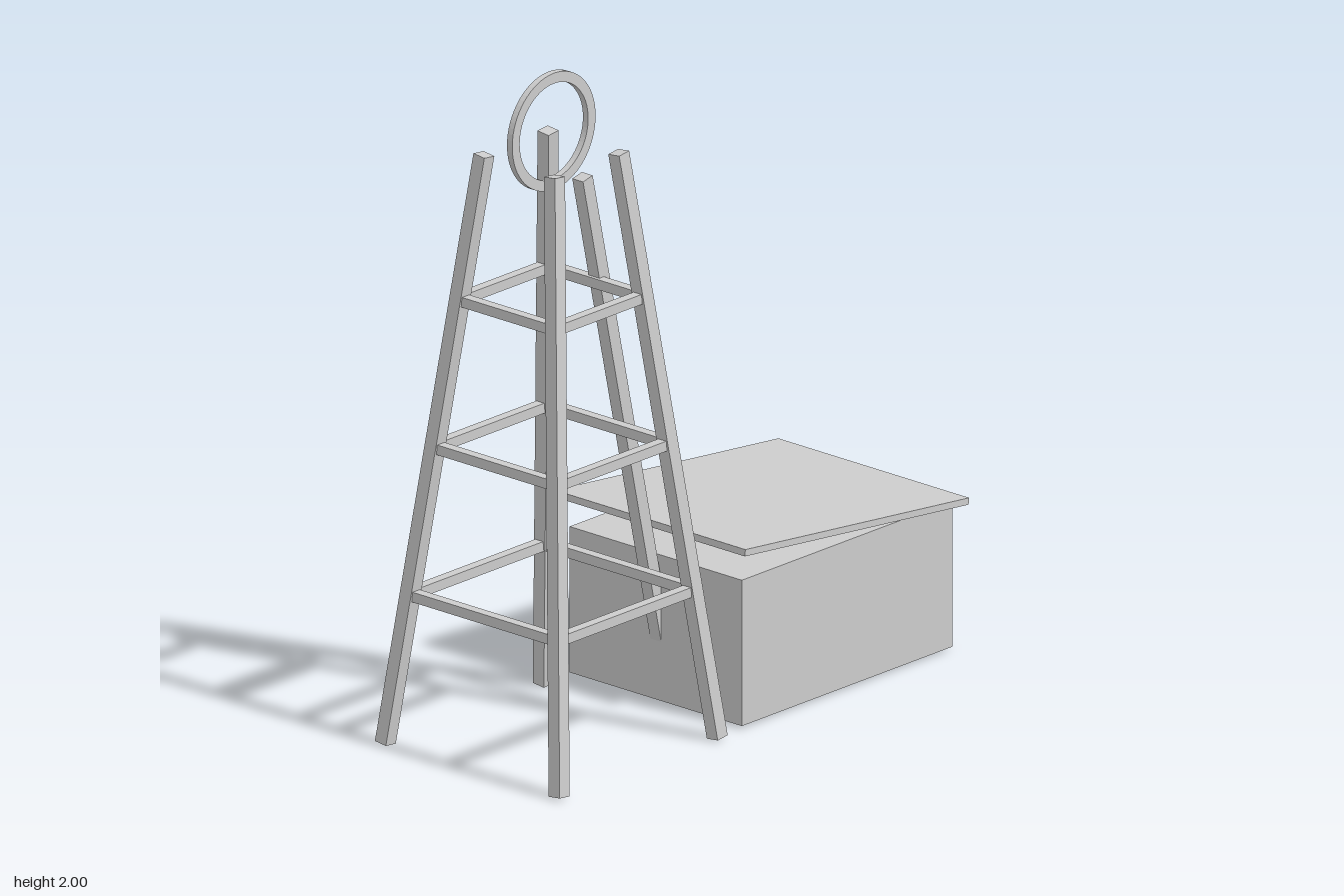
import * as THREE from 'three';

export function createModel() {
  const model = new THREE.Group();
  const grey = new THREE.MeshStandardMaterial({ color: 0xcccccc });
  grey.name = 'plain grey';

  const add = (parent, name, geometry) => {
    const mesh = new THREE.Mesh(geometry, grey);
    mesh.name = name;
    parent.add(mesh);
    return mesh;
  };
  const box = (parent, name, size, pos) => {
    const mesh = add(parent, name, new THREE.BoxGeometry(...size));
    mesh.position.set(...pos);
    return mesh;
  };
  // Square beam between two points
  const beam = (parent, name, a, b, width) => {
    const from = new THREE.Vector3(...a), to = new THREE.Vector3(...b);
    const dir = to.clone().sub(from);
    const mesh = add(parent, name, new THREE.BoxGeometry(width, dir.length(), width));
    mesh.position.copy(from).add(to).multiplyScalar(0.5);
    mesh.quaternion.setFromUnitVectors(new THREE.Vector3(0, 1, 0), dir.normalize());
    return mesh;
  };

  // Tower: four legs leaning inwards, with three rings of braces
  const tower = new THREE.Group();
  tower.name = 'tower';
  tower.position.x = -0.5;
  model.add(tower);
  const base = 0.33, top = 0.134, y0 = 0.005, y1 = 1.757;
  const spread = (y) => base + (top - base) * (y - y0) / (y1 - y0);
  for (const sx of [-1, 1]) for (const sz of [-1, 1]) {
    beam(tower, 'towerLeg', [sx * base, y0, sz * base], [sx * top, y1, sz * top], 0.042);
  }
  for (const y of [0.447, 0.886, 1.326]) {
    const s = spread(y);
    for (const side of [-1, 1]) {
      box(tower, 'crossBrace', [2 * s, 0.03, 0.03], [0, y, side * s]);
      box(tower, 'sideBrace', [0.03, 0.03, 2 * s], [side * s, y, 0]);
    }
  }

  // Slanted strut running down to the shed
  beam(model, 'backstayStrut', [-0.003, 0.005, 0], [-0.37, 1.652, 0], 0.041);

  // Upright wheel rim at the head of the tower
  const rim = new THREE.Shape().absarc(0, 0, 0.174, 0, Math.PI * 2, false);
  rim.holes.push(new THREE.Path().absarc(0, 0, 0.143, 0, Math.PI * 2, true));
  const rimGeometry = new THREE.ExtrudeGeometry(rim, { depth: 0.02, bevelEnabled: false, curveSegments: 32 });
  rimGeometry.translate(0, 0, -0.01);
  add(tower, 'wheelRim', rimGeometry).position.y = 1.826;

  // Shed with a sloping flat roof
  box(model, 'shedWalls', [0.88, 0.436, 0.654], [0.376, 0.226, 0]);
  box(model, 'shedRoof', [0.939, 0.02, 0.724], [0.378, 0.492, 0]).rotation.z = -0.104;

  return model;
}
